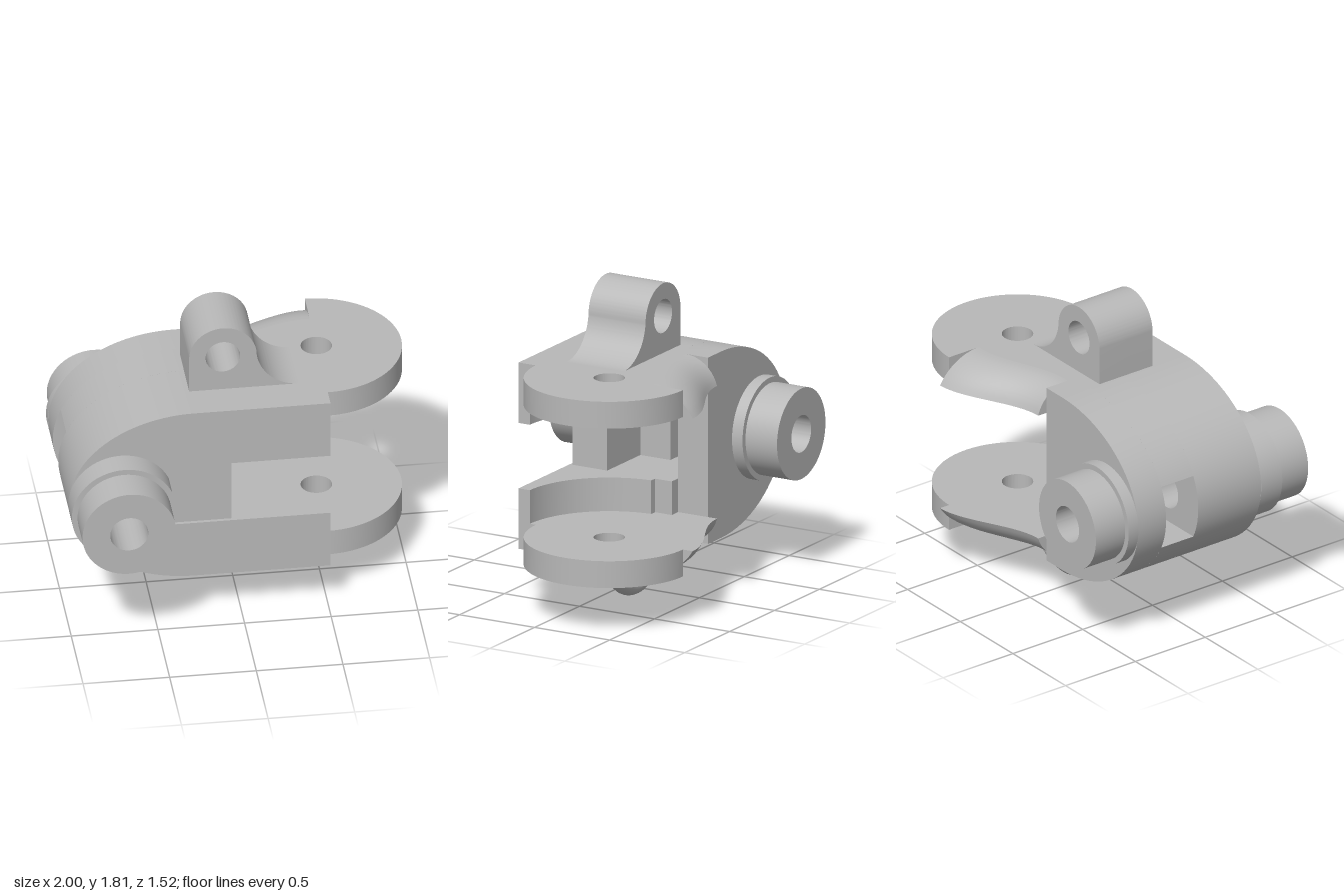
import * as THREE from 'three';
import { toCreasedNormals } from 'three/addons/utils/BufferGeometryUtils.js';

const MID = 0.845, TOP = 1.40, BOTTOM = 0.29, SLOT = 0.195; // heights; SLOT is half the slot height
const PIN_X = -0.70, EYE_X = 0.51, EYE_Z = -0.205;

export function createModel() {
  const group = new THREE.Group();
  const steel = new THREE.MeshStandardMaterial({ color: 0xb8b8b8 });
  steel.name = 'grey steel';

  const add = (name, geometry) => {
    const mesh = new THREE.Mesh(toCreasedNormals(geometry, 0.5), steel);
    mesh.name = name;
    group.add(mesh);
    return mesh;
  };
  // Adds a part and its mirror image about the mid height
  const addPair = (name, geometry) => {
    add('upper' + name, geometry);
    const low = add('lower' + name, geometry);
    low.scale.y = -1;
    low.position.y = 2 * MID;
  };
  const hole = (shape, x, y, r) => {
    shape.holes.push(new THREE.Path().absarc(x, y, r, 0, Math.PI * 2, true));
    return shape;
  };
  const shapeOf = (pts) => new THREE.Shape(pts.map(([x, y]) => new THREE.Vector2(x, y)));
  const extrudeZ = (shape, z0, z1) =>
    new THREE.ExtrudeGeometry(shape, { depth: z1 - z0, bevelEnabled: false, curveSegments: 40 }).translate(0, 0, z0);
  // Plan shapes are drawn as (x, -z)
  const extrudeY = (shape, y0, y1) =>
    new THREE.ExtrudeGeometry(shape, { depth: y1 - y0, bevelEnabled: false, curveSegments: 40 })
      .rotateX(-Math.PI / 2).translate(0, y0, 0);

  // Rounded nose of the body between two angles of an ellipse
  const nose = (a0, a1, n = 40) => Array.from({ length: n + 1 }, (_, i) => {
    const a = a0 + (a1 - a0) * i / n;
    return [-0.28 - 0.72 * Math.cos(a), MID + 0.555 * Math.sin(a)];
  });
  const END = -0.13, H = Math.PI / 2;
  const rim = nose(H, -H);

  // Body: front slab with pocket, middle with tunnel, solid back slab
  const frontSlab = shapeOf([...rim, [END, BOTTOM], [END, MID - SLOT], [-0.43, MID - SLOT],
    [-0.43, MID + SLOT], [END, MID + SLOT], [END, TOP]]);
  add('bodyFront', extrudeZ(hole(frontSlab, PIN_X, MID, 0.11), -0.05, 0.40));
  const tunnelSide = shapeOf([...nose(H, Math.asin(SLOT / 0.555), 24), [END, MID + SLOT], [END, TOP]]);
  addPair('BodyMiddle', extrudeZ(tunnelSide, -0.28, -0.05));
  const backSlab = shapeOf([...rim, [END, BOTTOM], [END, TOP]]);
  add('bodyBack', extrudeZ(hole(backSlab, PIN_X, MID, 0.11), -0.48, -0.28));
  add('pocketBlock', new THREE.BoxGeometry(0.37, 2 * SLOT, 0.23).translate(-0.245, MID, 0.265));

  // Fork arms with a round clearance around the eye
  const arm = new THREE.Shape();
  arm.moveTo(END, -0.40);
  arm.lineTo(EYE_X, -0.40);
  arm.lineTo(EYE_X, -EYE_Z - 0.53);
  arm.absarc(EYE_X, -EYE_Z, 0.53, -H, -Math.PI - 0.07 + 0.14, true);
  arm.lineTo(-0.06, 0.17);
  arm.lineTo(-0.06, 0.28);
  arm.lineTo(END, 0.28);
  addPair('ForkArm', extrudeY(arm, MID + SLOT, 1.24));

  // Eye plates, ending on the inner line of the flared edge
  const ease = (t) => t * t * (3 - 2 * t);
  const outer = (t) => -0.54 - 0.22 * ease(t);
  const inner = (t) => outer(t) + 0.21 + 0.07 * t;
  const STEPS = 24, xAt = (t) => END + (EYE_X - END) * t;
  const plate = new THREE.Shape();
  plate.moveTo(END, -0.40);
  plate.lineTo(EYE_X, -0.40);
  plate.lineTo(EYE_X, -EYE_Z - 0.49);
  plate.absarc(EYE_X, -EYE_Z, 0.49, -H, H, false);
  for (let i = STEPS; i >= 0; i--) plate.lineTo(xAt(i / STEPS), -inner(i / STEPS));
  addPair('EyePlate', extrudeY(hole(plate, EYE_X, -EYE_Z, 0.09), 1.24, TOP));

  // Flared edge: a circular arc section swept along an S curve
  const ARC = 10, N = ARC + 2, pos = [], idx = [];
  for (let i = 0; i <= STEPS; i++) {
    const t = i / STEPS, w = inner(t) - outer(t), h = TOP - 1.24;
    const R = (w * w + h * h) / (2 * h), sweep = Math.atan2(w, R - h);
    for (let j = 0; j <= ARC; j++) {
      const a = sweep * j / ARC;
      pos.push(xAt(t), TOP - R + R * Math.cos(a), inner(t) - R * Math.sin(a));
    }
    pos.push(xAt(t), 1.24, inner(t));
  }
  for (let i = 0; i < STEPS; i++) {
    for (let j = 0; j < N; j++) {
      const a = i * N + j, b = i * N + (j + 1) % N;
      idx.push(a, a + N, b, b, a + N, b + N);
    }
  }
  for (let j = 1; j < N - 1; j++) {
    const e = STEPS * N;
    idx.push(0, j, j + 1, e, e + j + 1, e + j);
  }
  const flare = new THREE.BufferGeometry();
  flare.setAttribute('position', new THREE.Float32BufferAttribute(pos, 3));
  flare.setIndex(idx);
  flare.computeVertexNormals();
  addPair('FlaredEdge', flare);

  // Trunnions: collar and hub on each side; the front collar has a flat
  const disc = (r, cut = 0) =>
    hole(new THREE.Shape().absarc(PIN_X, MID, r, cut, Math.PI * 2 - cut, false), PIN_X, MID, 0.11);
  add('frontCollar', extrudeZ(disc(0.303, 0.43), 0.40, 0.55));
  add('frontHub', extrudeZ(disc(0.27), 0.55, 0.76));
  add('backCollar', extrudeZ(disc(0.303), -0.55, -0.48));
  add('backHub', extrudeZ(disc(0.27), -0.76, -0.55));

  // Lifting lug on top with a concave fillet
  const lug = new THREE.Shape();
  lug.moveTo(-0.275, TOP - 0.01);
  lug.lineTo(0.36, TOP - 0.01);
  lug.lineTo(0.36, TOP);
  lug.bezierCurveTo(0.23, TOP, 0.13, 1.50, 0.115, 1.62);
  lug.absarc(-0.08, 1.62, 0.195, 0, Math.PI, false);
  add('liftingLug', extrudeZ(hole(lug, -0.08, 1.62, 0.10), -0.21, 0.17));

  // Half ring underneath
  add('lowerRing', new THREE.TorusGeometry(0.22, 0.06, 20, 40, Math.PI)
    .rotateZ(Math.PI).translate(0.125, 0.285, -0.135));
  add('ringRoots', new THREE.CylinderGeometry(0.06, 0.06, 0.02, 20).translate(-0.095, 0.293, -0.135));
  add('ringRoots', new THREE.CylinderGeometry(0.06, 0.06, 0.02, 20).translate(0.345, 0.293, -0.135));

  return group;
}
